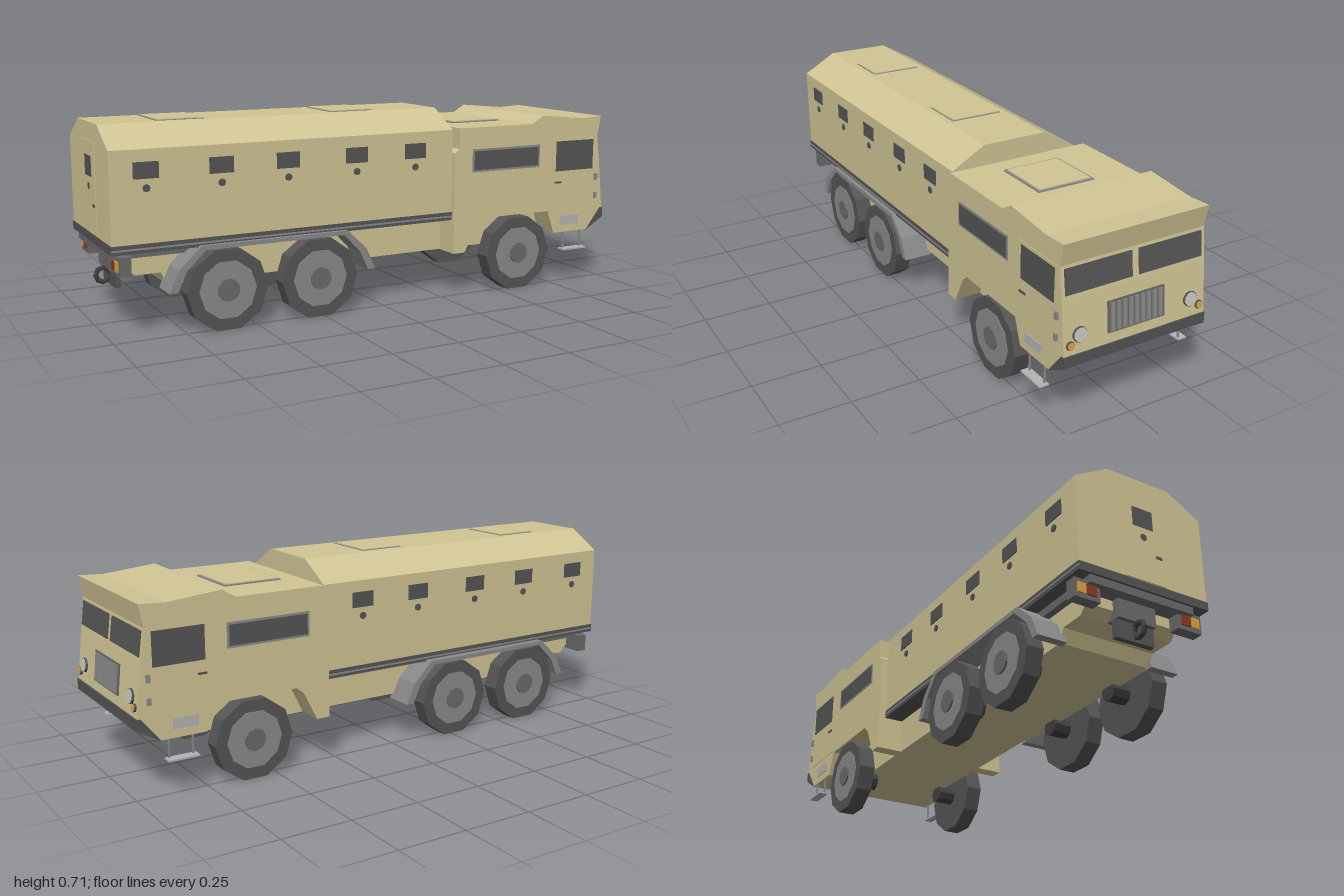
import * as THREE from 'three';

const mat = (color, extra = {}) => new THREE.MeshStandardMaterial({ color, flatShading: true, ...extra });
const TAN = mat(0xd0c594), DARK = mat(0x555555), GREY = mat(0x8a8a8a), MID = mat(0x6a6a6a);
const LIGHT = mat(0xb4b4b4), BLACK = mat(0x404040), LAMP = mat(0xc8c8c0), AMBER = mat(0xdca040), RED = mat(0x8a3a2a);

export function createModel() {
  const root = new THREE.Group();
  root.name = 'truck';
  const chassis = new THREE.Group();
  chassis.name = 'cabAndChassis';
  chassis.position.z = -0.006;
  const body = new THREE.Group();
  body.name = 'cargoBody';
  root.add(chassis, body);

  const add = (parent, name, geo, m, x = 0, y = 0, z = 0) => {
    const mesh = new THREE.Mesh(geo, m);
    mesh.name = name;
    mesh.position.set(x, y, z);
    parent.add(mesh);
    return mesh;
  };
  // box given by its limits on each axis
  const block = (parent, name, m, x0, x1, y0, y1, z0, z1) =>
    add(parent, name, new THREE.BoxGeometry(x1 - x0, y1 - y0, z1 - z0), m, (x0 + x1) / 2, (y0 + y1) / 2, (z0 + z1) / 2);
  // side profile in x/y, extruded from z0 to z1
  const slab = (parent, name, m, pts, z0, z1) => {
    const shape = new THREE.Shape(pts.map(p => new THREE.Vector2(...p)));
    return add(parent, name, new THREE.ExtrudeGeometry(shape, { depth: z1 - z0, bevelEnabled: false }), m, 0, 0, z0);
  };
  const disc = (r, h, n) => new THREE.CylinderGeometry(r, r, h, n).rotateX(Math.PI / 2);
  // same block on both sides, between distances a and b from the middle
  const pair = (parent, name, m, x0, x1, y0, y1, a, b) => {
    block(parent, name + 'Left', m, x0, x1, y0, y1, -b, -a);
    block(parent, name + 'Right', m, x0, x1, y0, y1, a, b);
  };

  // Cab shell with wheel arch cut in its side profile
  const W = 0.274;
  slab(chassis, 'cab', TAN, [
    [0.29, 0.165], [0.34, 0.165], [0.39, 0.265], [0.42, 0.29], [0.725, 0.29], [0.757, 0.2], [0.92, 0.2],
    [0.995, 0.245], [0.995, 0.283], [0.975, 0.465], [0.96, 0.575], [0.975, 0.652], [0.885, 0.647],
    [0.69, 0.665], [0.64, 0.636], [0.31, 0.636], [0.31, 0.56], [0.29, 0.545]], -W, W);
  slab(chassis, 'frontBumper', DARK, [[0.918, 0.198], [1, 0.245], [1, 0.283], [0.985, 0.283]], -W - 0.001, W + 0.001);

  // Hull between the wheels
  slab(chassis, 'hull', TAN, [
    [-0.93, 0.3], [-0.93, 0.23], [-0.9, 0.2], [-0.81, 0.2], [-0.79, 0.155], [-0.07, 0.155], [-0.05, 0.165],
    [0.72, 0.165], [0.78, 0.2], [0.78, 0.3]], -0.175, 0.175);

  // Windscreen, following the lean of the front
  for (const s of [-1, 1]) {
    const pane = add(chassis, 'windscreen', new THREE.BoxGeometry(0.008, 0.085, 0.248), DARK, 0.967, 0.522, s * 0.137);
    pane.rotation.z = 0.136;
  }

  // Nose panel: grille, headlights and indicators
  const nose = new THREE.Group();
  nose.name = 'nose';
  nose.position.set(0.986, 0.37, 0);
  nose.rotation.z = 0.11;
  chassis.add(nose);
  block(nose, 'grille', MID, -0.005, 0.004, -0.053, 0.053, -0.109, 0.109);
  for (let i = 0; i < 9; i++) {
    const z = -0.092 + i * 0.023;
    block(nose, 'grilleRib', GREY, 0, 0.008, -0.047, 0.047, z - 0.007, z + 0.007);
  }
  const lamp = (name, m, r, y, z) => {
    add(nose, name + 'Rim', disc(r, 0.014, 10).rotateY(Math.PI / 2), DARK, 0, y, z);
    add(nose, name, disc(r - 0.002, 0.018, 10).rotateY(Math.PI / 2), m, 0, y, z);
  };
  for (const s of [-1, 1]) {
    lamp('headlight', LAMP, 0.026, -0.025, s * 0.214);
    lamp('indicator', AMBER, 0.0145, -0.054, s * 0.25);
  }

  // Cab side fittings
  pair(chassis, 'door', TAN, 0.74, 0.955, 0.295, 0.573, W - 0.01, W + 0.002);
  pair(chassis, 'doorWindow', DARK, 0.757, 0.938, 0.445, 0.562, W - 0.01, W + 0.004);
  pair(chassis, 'sideWindowFrame', GREY, 0.368, 0.677, 0.468, 0.555, W - 0.01, W + 0.002);
  pair(chassis, 'sideWindow', DARK, 0.376, 0.669, 0.476, 0.547, W - 0.01, W + 0.004);
  pair(chassis, 'doorHandle', DARK, 0.752, 0.785, 0.397, 0.404, W, W + 0.006);
  pair(chassis, 'upperHinge', GREY, 0.948, 0.962, 0.398, 0.424, W - 0.005, W + 0.008);
  pair(chassis, 'lowerHinge', GREY, 0.948, 0.962, 0.325, 0.348, W - 0.005, W + 0.008);
  pair(chassis, 'stepRecess', LIGHT, 0.787, 0.877, 0.23, 0.266, W - 0.01, W + 0.003);
  pair(chassis, 'stepTread', LIGHT, 0.795, 0.905, 0.129, 0.135, 0.26, 0.295);
  for (const x of [0.808, 0.892]) pair(chassis, 'stepLeg', GREY, x - 0.003, x + 0.003, 0.13, 0.205, 0.266, 0.272);

  // Cab roof hatch
  block(chassis, 'cabHatchFrame', GREY, 0.385, 0.6, 0.63, 0.64, -0.11, 0.11);
  block(chassis, 'cabHatch', TAN, 0.394, 0.591, 0.63, 0.643, -0.101, 0.101);

  // Wheels: ten-sided, standing on a flat
  const R = 0.139 / Math.cos(Math.PI / 10);
  for (const x of [-0.61, -0.265, 0.585]) for (const s of [-1, 1]) {
    const wheel = new THREE.Group();
    wheel.name = 'wheel';
    wheel.position.set(x, 0.139, s * 0.244);
    chassis.add(wheel);
    add(wheel, 'tyre', disc(R, 0.062, 10).rotateZ(Math.PI / 10), DARK);
    add(wheel, 'rim', disc(0.103, 0.004, 10).rotateZ(Math.PI / 10), GREY, 0, 0, s * 0.031);
    add(wheel, 'hub', disc(0.04, 0.016, 10), MID, 0, 0, s * 0.031);
    add(wheel, 'axleStub', disc(0.035, 0.08, 8), BLACK, 0, 0, -s * 0.06);
  }

  // Rear mudguards
  const guard = [
    [-0.815, 0.148], [-0.78, 0.225], [-0.7, 0.298], [-0.155, 0.298], [-0.08, 0.225], [-0.045, 0.148],
    [-0.075, 0.148], [-0.105, 0.215], [-0.17, 0.283], [-0.685, 0.283], [-0.755, 0.215], [-0.785, 0.148]];
  slab(chassis, 'mudguardRight', GREY, guard, 0.165, W);
  slab(chassis, 'mudguardLeft', GREY, guard, -W, -0.165);

  // Cargo body: straight sides under a three-sided roof
  const roof = [[-0.249, 0.3], [0.249, 0.3], [0.249, 0.63], [0.122, 0.702], [-0.122, 0.702], [-0.249, 0.63]];
  const shell = new THREE.ExtrudeGeometry(new THREE.Shape(roof.map(p => new THREE.Vector2(...p))), { depth: 1.286, bevelEnabled: false });
  add(body, 'bodyShell', shell.rotateY(Math.PI / 2), TAN, -0.996);
  block(body, 'floorRail', DARK, -0.998, 0.291, 0.292, 0.322, -0.252, 0.252);
  pair(body, 'railTrim', GREY, -0.998, 0.291, 0.303, 0.309, 0.25, 0.254);
  for (const x of [-0.875, -0.617, -0.375, -0.11, 0.13]) {
    pair(body, 'bodyWindow', DARK, x - 0.043, x + 0.043, 0.534, 0.589, 0.24, 0.252);
    for (const s of [-1, 1]) add(body, 'port', disc(0.013, 0.012, 8), DARK, x, 0.503, s * 0.247);
  }
  for (const x of [-0.705, -0.053]) {
    block(body, 'roofHatchFrame', GREY, x - 0.085, x + 0.085, 0.695, 0.704, -0.1, 0.1);
    block(body, 'roofHatch', TAN, x - 0.081, x + 0.081, 0.695, 0.707, -0.096, 0.096);
  }

  // Rear door
  block(body, 'rearDoor', TAN, -0.999, -0.98, 0.325, 0.64, -0.075, 0.085);
  block(body, 'rearDoorWindow', DARK, -1, -0.98, 0.52, 0.59, -0.035, 0.045);
  add(body, 'rearDoorPort', disc(0.013, 0.02, 8).rotateY(Math.PI / 2), DARK, -0.99, 0.485, 0.005);
  block(body, 'rearDoorHandle', DARK, -1, -0.98, 0.42, 0.43, 0.05, 0.075);

  // Rear frame, lamps and towing hitch
  block(chassis, 'rearFrame', MID, -0.99, -0.7, 0.265, 0.295, -0.2, 0.2);
  pair(chassis, 'lampBracket', MID, -0.97, -0.93, 0.215, 0.28, 0.15, 0.245);
  pair(chassis, 'tailLamp', RED, -0.975, -0.96, 0.23, 0.265, 0.165, 0.2);
  pair(chassis, 'rearIndicator', AMBER, -0.975, -0.96, 0.23, 0.265, 0.205, 0.235);
  block(chassis, 'hitchMount', MID, -0.955, -0.9, 0.2, 0.28, -0.073, 0.073);
  block(chassis, 'hitchPlate', DARK, -0.94, -0.92, 0.137, 0.22, -0.073, 0.073);
  add(chassis, 'towRing', new THREE.TorusGeometry(0.026, 0.009, 6, 8), BLACK, -0.96, 0.172, 0);

  return root;
}
